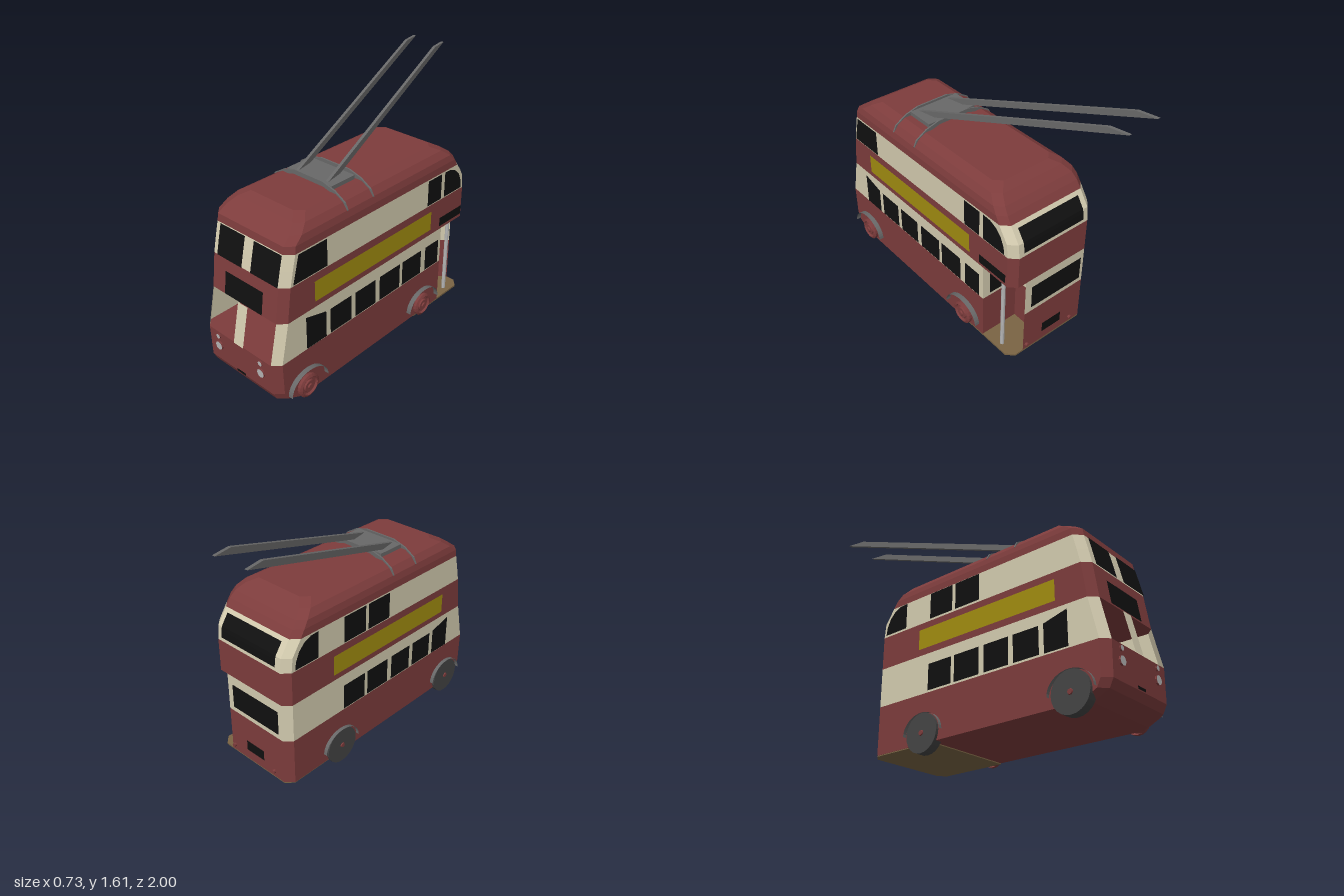
import * as THREE from 'three';

const mat = (name, color, side = THREE.FrontSide) => {
  const m = new THREE.MeshStandardMaterial({ color, side, flatShading: true });
  m.name = name;
  return m;
};

export function createModel() {
  const bus = new THREE.Group();
  bus.name = 'trolleybus';
  const red = mat('body red', 0x7d3c3c, THREE.DoubleSide);
  const cream = mat('cream', 0xd3cbaf, THREE.DoubleSide);
  const black = mat('window black', 0x101010, THREE.DoubleSide);
  const yellow = mat('advert yellow', 0xa08c10, THREE.DoubleSide);
  const grey = mat('rack grey', 0x686868, THREE.DoubleSide);
  const tyreGrey = mat('tyre grey', 0x444444);
  const lamp = mat('lamp grey', 0xb4b4b4);
  const olive = mat('platform olive', 0x7a6444, THREE.DoubleSide);

  const add = (name, geo, m, x = 0, y = 0, z = 0, parent = bus) => {
    const mesh = new THREE.Mesh(geo, m);
    mesh.name = name;
    mesh.position.set(x, y, z);
    parent.add(mesh);
    return mesh;
  };

  // Body profile: height, front z, rear z, half width
  const CX = 0.023, C = 0.045;
  const profile = [
    [0.06, 0.86, -0.7, 0.305], [0.11, 0.96, -0.7, 0.305], [0.16, 0.985, -0.7, 0.305],
    [0.365, 0.99, -0.7, 0.305], [0.615, 0.935, -0.7, 0.305], [0.83, 0.905, -0.7, 0.305],
    [0.92, 0.885, -0.69, 0.305], [1.015, 0.862, -0.625, 0.305], [1.06, 0.855, -0.595, 0.303],
    [1.1, 0.8, -0.56, 0.293], [1.14, 0.745, -0.505, 0.262], [1.17, 0.69, -0.45, 0.21],
  ];
  const at = (y, k) => {
    let i = 1;
    while (i < profile.length - 1 && profile[i][0] < y) i++;
    const a = profile[i - 1], b = profile[i];
    return THREE.MathUtils.lerp(a[k], b[k], (y - a[0]) / (b[0] - a[0]));
  };
  const frontZ = y => at(y, 1) + 0.005, rearZ = y => at(y, 2) - 0.005;

  // Chamfered outline; the lower deck has an entrance recess at the rear left
  const outline = (y, recess) => {
    const f = at(y, 1), r = at(y, 2), w = at(y, 3);
    const rearLeft = recess
      ? [[CX + w, -0.45], [0.07, -0.45], [0.07, -0.57], [0.225, r]]
      : [[CX + w, r + C], [CX + w - C, r]];
    return [[CX - w + C, f], [CX + w - C, f], [CX + w, f - C], ...rearLeft,
      [CX - w + C, r], [CX - w, r + C], [CX - w, f - C]];
  };
  const band = (name, m, i0, i1, recess, skip = -1) => {
    const v = [];
    for (let i = i0; i < i1; i++) {
      const y0 = profile[i][0], y1 = profile[i + 1][0];
      const lo = outline(y0, recess), hi = outline(y1, recess);
      lo.forEach((p, j) => {
        if (j === skip) return;
        const k = (j + 1) % lo.length;
        const a = [p[0], y0, p[1]], b = [lo[k][0], y0, lo[k][1]];
        const c = [hi[k][0], y1, hi[k][1]], d = [hi[j][0], y1, hi[j][1]];
        v.push(...a, ...b, ...c, ...a, ...c, ...d);
      });
    }
    const g = new THREE.BufferGeometry();
    g.setAttribute('position', new THREE.Float32BufferAttribute(v, 3));
    g.computeVertexNormals();
    add(name, g, m);
  };
  const cap = (name, m, y, recess) => {
    const s = new THREE.Shape(outline(y, recess).map(p => new THREE.Vector2(p[0], -p[1])));
    add(name, new THREE.ShapeGeometry(s).rotateX(-Math.PI / 2), m, 0, y, 0);
  };
  band('lowerBody', red, 0, 3, true);
  band('lowerDeckWalls', cream, 3, 4, true, 0);
  band('middleBand', red, 4, 5, false);
  band('upperDeckWalls', cream, 5, 7, false);
  band('roofSides', red, 7, 11, false);
  cap('underside', red, 0.06, true);
  cap('lowerDeckFloor', red, 0.365, true);
  cap('upperDeckFloor', red, 0.615, false);
  cap('roofTop', red, 1.17, false);

  // Plates that follow the front or rear profile
  const endPlate = (name, x0, x1, y0, y1, m, zAt, back = false) => {
    const g = new THREE.PlaneGeometry(x1 - x0, y1 - y0, 1, 6);
    if (back) g.rotateY(Math.PI);
    g.translate((x0 + x1) / 2, (y0 + y1) / 2, 0);
    const p = g.attributes.position;
    for (let i = 0; i < p.count; i++) p.setZ(i, zAt(p.getY(i)));
    g.computeVertexNormals();
    add(name, g, m);
  };
  endPlate('upperFrontWindow', -0.205, -0.003, 0.832, 1.013, black, frontZ);
  endPlate('upperFrontWindow', 0.068, 0.282, 0.832, 1.013, black, frontZ);
  endPlate('frontDestinationPanel', -0.13, 0.175, 0.62, 0.76, black, frontZ);
  endPlate('frontNumberPlate', -0.015, 0.06, 0.163, 0.18, black, frontZ);
  endPlate('windscreenPillar', -0.018, 0.06, 0.365, 0.615, cream, frontZ);
  endPlate('upperRearWindow', -0.2, 0.25, 0.855, 0.995, black, rearZ, true);
  endPlate('lowerRearWindow', -0.21, 0.18, 0.4, 0.56, black, rearZ, true);
  endPlate('rearNumberPlate', -0.07, 0.08, 0.13, 0.2, black, rearZ, true);
  endPlate('entranceWindow', 0.1, 0.28, 0.39, 0.55, black, () => -0.456, true);

  // Cab partition behind the open windscreen
  endPlate('cabPartition', -0.28, 0.326, 0.365, 0.615, cream, () => 0.45);
  endPlate('cabWindow', -0.2, -0.015, 0.39, 0.545, black, () => 0.456);
  endPlate('cabWindow', 0.05, 0.092, 0.39, 0.545, black, () => 0.456);

  // Flat plates on the sides, outlined by (z, y) points
  const sidePlate = (name, pts, m, s) => {
    const shape = new THREE.Shape(pts.map(p => new THREE.Vector2(-p[0], p[1])));
    const g = new THREE.ShapeGeometry(shape).rotateY(Math.PI / 2);
    add(name, g, m, CX + s * 0.31, 0, 0);
  };
  const rect = (z0, z1, y0, y1) => [[z0, y0], [z1, y0], [z1, y1], [z0, y1]];
  for (const s of [1, -1]) {
    sidePlate('cabSideWindow', [[0.763, 0.372], [0.608, 0.372], [0.608, 0.545], [0.763, 0.585]], black, s);
    for (const [z0, z1] of [[0.575, 0.4], [0.367, 0.19], [0.152, -0.035], [-0.06, -0.243]])
      sidePlate('lowerSideWindow', rect(z0, z1, 0.375, 0.542), black, s);
    sidePlate('upperQuarterWindow', [[-0.452, 0.84], [-0.632, 0.84], [-0.625, 0.89], [-0.6, 0.945],
      [-0.56, 0.985], [-0.51, 1.007], [-0.452, 1.01]], black, s);
    sidePlate('advertPanel', rect(0.69, -0.33, 0.655, 0.785), yellow, s);
  }
  sidePlate('lowerSideWindow', rect(-0.287, -0.42, 0.375, 0.542), black, 1);
  sidePlate('upperForwardWindow', [[0.845, 0.84], [0.59, 0.84], [0.59, 1.01], [0.8, 1.01]], black, 1);
  sidePlate('upperSideWindow', rect(-0.287, -0.42, 0.84, 1.01), black, 1);
  sidePlate('sideDestinationPanel', rect(-0.42, -0.645, 0.64, 0.7), black, 1);
  sidePlate('upperSideWindow', rect(-0.243, -0.06, 0.84, 1.01), black, -1);
  sidePlate('upperSideWindow', rect(-0.035, 0.152, 0.84, 1.01), black, -1);

  // Rear platform and grab pole
  const deck = new THREE.Shape([[-0.28, 0.2], [0.328, 0.2], [0.328, 0.655], [0.283, 0.7],
    [-0.237, 0.7], [-0.28, 0.655]].map(p => new THREE.Vector2(...p)));
  add('rearPlatform', new THREE.ExtrudeGeometry(deck, { depth: 0.012, bevelEnabled: false })
    .rotateX(-Math.PI / 2), olive, 0, 0.054, 0);
  add('grabPole', new THREE.CylinderGeometry(0.013, 0.013, 0.555, 10), lamp, 0.285, 0.34, -0.58);

  // Front lamps with red shells, and rear lamps
  for (const x of [-0.155, 0.2]) {
    for (const [y, r] of [[0.27, 0.028], [0.338, 0.016]]) {
      add('lampShell', new THREE.CylinderGeometry(r, r, 0.02, 8).rotateX(Math.PI / 2), red, x, y, 0.987);
      add('lampFace', new THREE.CircleGeometry(r, 8), lamp, x, y, 0.999);
    }
    add('rearLamp', new THREE.CylinderGeometry(0.012, 0.012, 0.02, 8).rotateX(Math.PI / 2), red, x, 0.1, -0.706);
  }

  // Wheels: mudguard band and stepped hub on each side, tyres on the right
  const hubProfile = [[0.075, 0], [0.075, 0.022], [0.06, 0.03], [0.052, 0.018], [0.04, 0.018],
    [0.036, 0.028], [0.018, 0.028], [0.014, 0.036], [0, 0.036]].map(p => new THREE.Vector2(...p));
  for (const z of [0.77, -0.27]) for (const s of [1, -1]) {
    const wheel = new THREE.Group();
    wheel.name = 'wheel';
    wheel.position.set(s > 0 ? 0.325 : -0.27, 0.12, z);
    bus.add(wheel);
    add('hub', new THREE.LatheGeometry(hubProfile, 20).rotateZ(-s * Math.PI / 2), red, 0, 0, 0, wheel);
    const guard = new THREE.CylinderGeometry(0.143, 0.143, 0.05, 20, 1, true, 0, Math.PI)
      .rotateZ(Math.PI / 2).scale(1, 0.83, 1);
    if (guard.boundingBox === null) guard.computeBoundingBox();
    if (guard.boundingBox.max.y < 0.05) guard.rotateX(Math.PI);
    add('mudguard', guard, grey, s * 0.01, 0.002, 0, wheel);
    if (s < 0) add('tyre', new THREE.CylinderGeometry(0.12, 0.12, 0.06, 24).rotateZ(Math.PI / 2),
      tyreGrey, 0, 0, 0, wheel);
  }

  // Roof rack: two arched bars and a base plate
  const arc = [[-0.295, 1.1], [-0.275, 1.14], [-0.2, 1.185], [-0.11, 1.21]];
  const upper = [...arc, ...arc.map(([x, y]) => [-x, y]).reverse()];
  const lower = upper.map(([x, y]) => [x * 0.96, y - 0.025]).reverse();
  const bar = new THREE.Shape([...upper, ...lower].map(p => new THREE.Vector2(...p)));
  for (const z of [0.195, 0.405])
    add('rackBar', new THREE.ExtrudeGeometry(bar, { depth: 0.01, bevelEnabled: false }), grey, CX, 0, z);
  add('rackPlate', new THREE.BoxGeometry(0.345, 0.025, 0.185), grey, 0.018, 1.185, 0.31);

  // Trolley poles: boxes sheared back and sideways as they rise
  for (const [x, z] of [[-0.1, 0.335], [0.122, 0.325]]) {
    const g = new THREE.BoxGeometry(0.02, 0.41, 0.12).translate(0, 0.205, 0);
    const p = g.attributes.position;
    for (let i = 0; i < p.count; i++) {
      const t = p.getY(i) / 0.41;
      p.setX(i, p.getX(i) + p.getZ(i) * 0.2 - 0.248 * t);
      p.setZ(i, p.getZ(i) - 1.262 * t);
    }
    g.computeVertexNormals();
    add('trolleyPole', g, grey, x, 1.195, z);
  }
  return bus;
}
